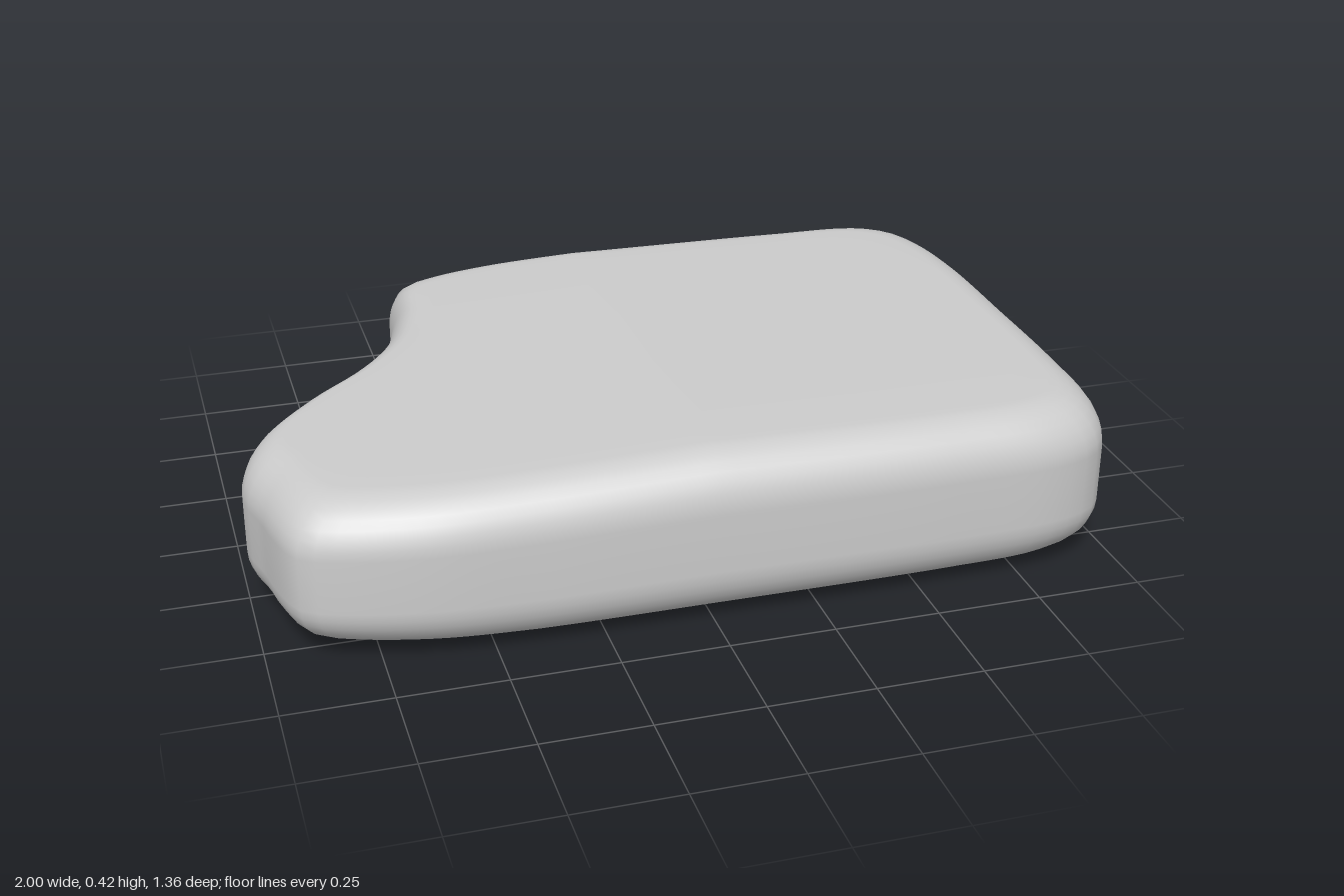
import * as THREE from 'three';

// Plan of the slab as [x, z], running from the left side round the front
const PLAN = [
  [1, 0], [1, 0.3], [0.985, 0.53], [0.94, 0.615], [0.84, 0.66], [0.6, 0.677], [0, 0.68],
  [-0.4, 0.677], [-0.66, 0.664], [-0.85, 0.62], [-0.92, 0.585], [-0.955, 0.5], [-0.975, 0.4],
  [-1, 0.3], [-0.98, 0.2], [-0.86, 0.05], [-0.71, -0.09], [-0.595, -0.25], [-0.535, -0.43],
  [-0.5, -0.605], [-0.43, -0.645], [-0.26, -0.678], [0.1, -0.68], [0.6, -0.678], [0.85, -0.665],
  [0.935, -0.605], [0.975, -0.5], [0.998, -0.3],
];
const AROUND = 140;
const INSET = 0.11; // width of the rounded rim

// Gently uneven upper and lower faces
const topAt = (x, z) => 0.423 - 0.038 * Math.max(0, -x) - 0.012 * Math.max(0, x) - 0.012 * z * z;
const bottomAt = (x, z) =>
  0.018 + 0.03 * Math.max(0, -x - 0.4)
  - 0.02 * Math.exp(-((x + 0.25) ** 2 + (z + 0.52) ** 2) / 0.04);

// Rings from the middle of the underside, round the rim, to the middle of the top:
// [inset from the plan, height 0..1 between the two faces, size of the ring]
function ringProfile() {
  const rings = [];
  const sizes = [0, 0.25, 0.5, 0.75, 0.92];
  const steps = 8;
  const rise = 0.32;
  for (const s of sizes) rings.push([INSET, 0, s]);
  for (let i = 0; i <= steps; i++) {
    const a = (i / steps) * Math.PI / 2;
    rings.push([INSET * (1 - Math.sin(a)), rise * (1 - Math.cos(a)), 1]);
  }
  rings.push([0, 0.5, 1]);
  for (let i = steps; i >= 0; i--) {
    const a = (i / steps) * Math.PI / 2;
    rings.push([INSET * (1 - Math.sin(a)), 1 - rise * (1 - Math.cos(a)), 1]);
  }
  for (const s of sizes.reverse()) rings.push([INSET, 1, s]);
  return rings;
}

function slabGeometry() {
  const curve = new THREE.CatmullRomCurve3(
    PLAN.map(([x, z]) => new THREE.Vector3(x, 0, z)), true, 'centripetal');
  const outline = curve.getSpacedPoints(AROUND).slice(0, AROUND);
  const rings = ringProfile();
  const positions = [];
  const index = [];
  rings.forEach(([inset, height, size], r) => {
    outline.forEach((p, j) => {
      const x = p.x * (1 - inset) * size;
      const z = p.z * (1 - inset / 0.68) * size;
      positions.push(x, THREE.MathUtils.lerp(bottomAt(x, z), topAt(x, z), height), z);
      if (r === rings.length - 1) return;
      const k = (j + 1) % AROUND;
      const a = r * AROUND + j, b = a + AROUND;
      const c = r * AROUND + k, d = c + AROUND;
      if (r < rings.length - 2) index.push(a, b, d);
      else index.push(a, b, c);
      if (r > 0 && r < rings.length - 2) index.push(a, d, c);
    });
  });
  const geometry = new THREE.BufferGeometry();
  geometry.setAttribute('position', new THREE.Float32BufferAttribute(positions, 3));
  geometry.setIndex(index);
  geometry.computeVertexNormals();
  return geometry;
}

export function createModel() {
  const group = new THREE.Group();
  group.name = 'stone';
  const slab = new THREE.Mesh(slabGeometry(), new THREE.MeshStandardMaterial({ color: 0xcccccc }));
  slab.name = 'stoneSlab';
  group.add(slab);
  return group;
}
